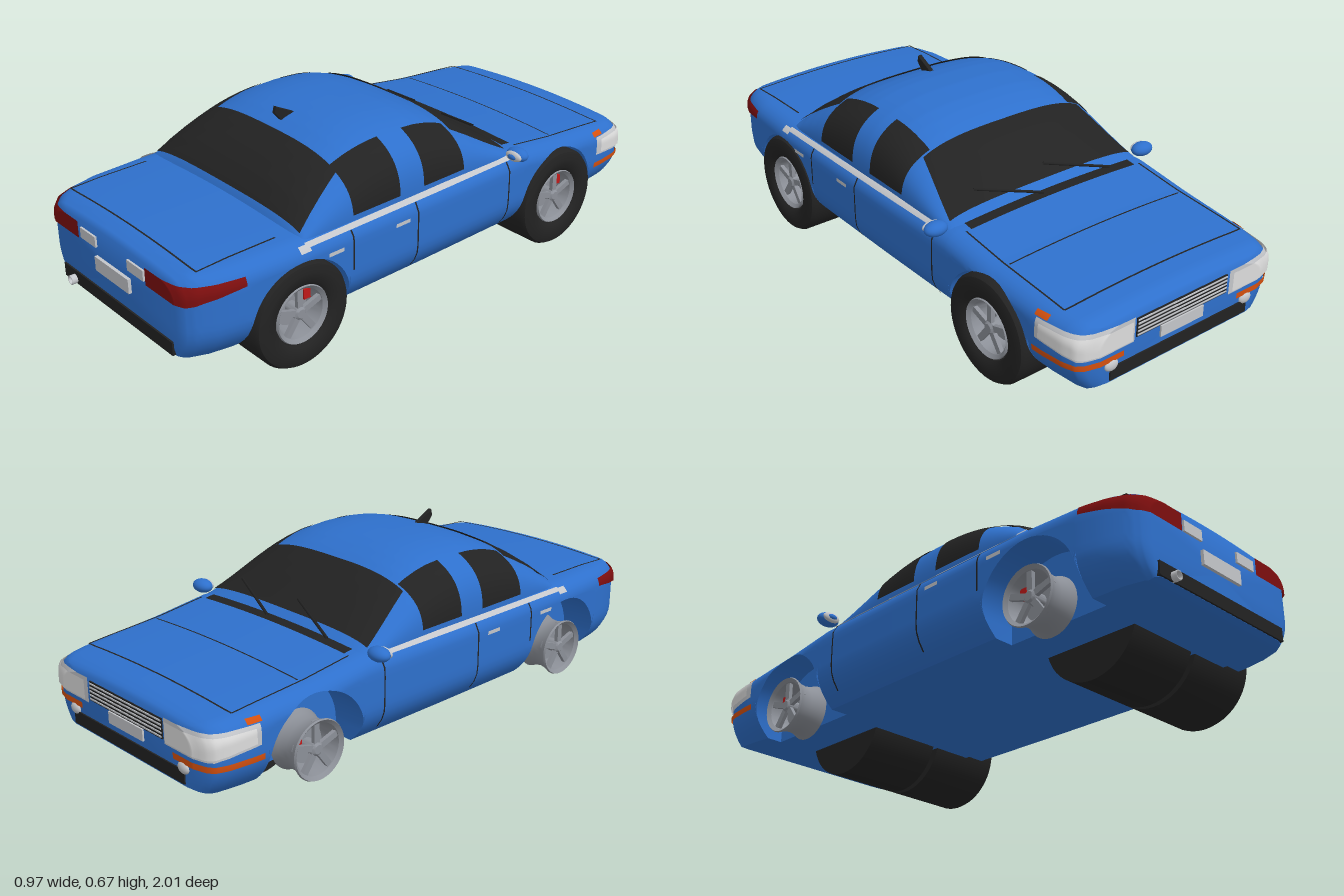
import * as THREE from 'three';
import { toCreasedNormals } from 'three/addons/utils/BufferGeometryUtils.js';

const mat = (name, color) => new THREE.MeshStandardMaterial({ name, color, side: THREE.DoubleSide });
const paint = mat('blue paint', 0x2e70cc), black = mat('black trim', 0x222222);
const silver = mat('light silver', 0xc4c6ca), alloy = mat('wheel alloy', 0x8c9098);
const tail = mat('tail light red', 0x7c0e0e), orange = mat('indicator orange', 0xd4500f);
const red = mat('caliper red', 0xc01818), lensMat = mat('headlamp lens', 0xdcdcdc);

// Piecewise linear lookup in a list of [z, value]
const lookup = (t, z) => {
  if (z <= t[0][0]) return t[0][1];
  for (let i = 1; i < t.length; i++) if (z <= t[i][0]) {
    const [a, p] = t[i - 1], [b, q] = t[i];
    return p + (q - p) * (z - a) / (b - a);
  }
  return t[t.length - 1][1];
};
const mix = THREE.MathUtils.lerp;

const NOSE = -0.995, TAIL = 0.975, WHEEL_Y = 0.182, TYRE_R = 0.182, ARCH_R = 0.19, AXLES = [0.585, -0.6];
const WIDTH = [[-0.995, .33], [-0.985, .375], [-0.97, .4], [-0.93, .415], [-0.85, .425], [-0.6, .433], [0, .44],
  [.6, .44], [.8, .428], [.88, .412], [.94, .385], [.965, .36], [.975, .33]];
const TOP = [[-0.995, .345], [-0.985, .357], [-0.95, .37], [-0.8, .383], [-0.6, .398], [-0.39, .425], [.56, .43],
  [.8, .43], [.93, .425], [.965, .412], [.975, .4]];
const BOTTOM = [[-0.995, .155], [-0.95, .14], [-0.8, .13], [.8, .13], [.95, .138], [.975, .15]];
const ROOF = [[-0.4, .425], [-0.35, .458], [-0.3, .492], [-0.25, .526], [-0.2, .558], [-0.15, .586], [-0.1, .609], [-0.05, .626], [0, .637],
  [.1, .645], [.2, .641], [.25, .634], [.3, .622], [.35, .604], [.4, .58], [.45, .551], [.5, .515], [.55, .465], [.58, .41]];

// Half width of the lower body at a height, and height of its top
const sideX = (y, z) => {
  const w = lookup(WIDTH, z), t = lookup(TOP, z), s = THREE.MathUtils.clamp((y - t + .06) / .06, 0, 1);
  const low = Math.max(0, (.25 - y) / .12);
  return w * (1 - .16 * low * low) - .07 * (1 - Math.sqrt(1 - s * s));
};
const topY = (x, z) => lookup(TOP, z) + .012 * (1 - Math.min(1, (x / (lookup(WIDTH, z) - .07)) ** 2));

// Cabin surface, a rounded section standing on BASE
const BASE = .4, CABIN_W = .408, N = 3;
const curve = f => Math.max(0, 1 - Math.min(1, Math.abs(f)) ** N) ** (1 / N);
const cabinY = (x, z) => BASE + (lookup(ROOF, z) - BASE) * curve(x / CABIN_W);
const cabinX = (y, z) => CABIN_W * curve((y - BASE) / (lookup(ROOF, z) - BASE));

// Surface from a grid of points
function grid(fn, nu, nv) {
  const pos = [], idx = [];
  for (let i = 0; i <= nu; i++) for (let j = 0; j <= nv; j++) pos.push(...fn(i / nu, j / nv));
  for (let i = 0; i < nu; i++) for (let j = 0; j < nv; j++) {
    const a = i * (nv + 1) + j, b = a + nv + 1;
    idx.push(a, b, a + 1, b, b + 1, a + 1);
  }
  const g = new THREE.BufferGeometry();
  g.setAttribute('position', new THREE.Float32BufferAttribute(pos, 3));
  g.setIndex(idx);
  g.computeVertexNormals();
  return g;
}

export function createModel() {
  const car = new THREE.Group();
  car.name = 'car';
  const add = (name, geo, m, x = 0, y = 0, z = 0, parent = car) => {
    const mesh = new THREE.Mesh(geo, m);
    mesh.name = name;
    mesh.position.set(x, y, z);
    parent.add(mesh);
    return mesh;
  };
  const box = (name, m, w, h, d, x, y, z, parent) => add(name, new THREE.BoxGeometry(w, h, d), m, x, y, z, parent);
  const ball = (name, m, rx, ry, rz, x, y, z) => add(name, new THREE.SphereGeometry(1, 24, 16), m, x, y, z).scale.set(rx, ry, rz);

  // Lower body: cross-sections along z, with wheel wells stepped into the sides
  const stations = [];
  for (const t of [WIDTH, TOP, BOTTOM]) for (const [z] of t) stations.push([z, 0]);
  for (let z = -0.96; z < .97; z += .04) stations.push([z, 0]);
  const open = stations.filter(([z]) => AXLES.every(c => Math.abs(z - c) > ARCH_R + .002));
  for (const c of AXLES) {
    for (const s of [-1, 1]) open.push([c + s * (ARCH_R + .0005), 0]);
    for (let i = 0; i <= 24; i++) {
      const a = Math.PI * i / 24;
      open.push([c - ARCH_R * Math.cos(a), WHEEL_Y + ARCH_R * Math.sin(a)]);
    }
  }
  open.sort((a, b) => a[0] - b[0]);
  const half = ([z, arch]) => {
    const yb = lookup(BOTTOM, z), t = lookup(TOP, z), a = Math.max(yb, arch);
    const inner = Math.min(.3, sideX(yb, z) - .01), pts = [[0, yb], [inner, yb], [inner, a]];
    for (let i = 0; i <= 10; i++) { const y = mix(a, Math.max(a, t - .06), i / 10); pts.push([sideX(y, z), y]); }
    for (let i = 1; i <= 6; i++) { const y = Math.max(a, t - .06 + .06 * Math.sin(Math.PI * i / 12)); pts.push([sideX(y, z), y]); }
    const edge = sideX(t, z);
    for (let i = 1; i <= 6; i++) { const x = edge * (1 - i / 6); pts.push([x, topY(x, z)]); }
    return pts;
  };
  const rings = open.map(s => {
    const h = half(s);
    return [...h, ...h.slice(0, -1).reverse().map(([x, y]) => [-x, y])].map(([x, y]) => [x, y, s[0]]);
  });
  const ends = r => r.map(p => [0, .27, p[2]]);
  rings.unshift(ends(rings[0]));
  rings.push(ends(rings[rings.length - 1]));
  const nu = rings.length - 1, nv = rings[0].length - 1;
  add('lowerBody', toCreasedNormals(grid((u, v) => rings[Math.round(u * nu)][nv - Math.round(v * nv)], nu, nv), .7), paint);

  // Cabin and its glass
  add('cabin', grid((u, v) => {
    const z = mix(-0.4, .58, u), a = Math.PI * v, c = Math.cos(a), s = Math.sin(a), k = (Math.abs(c) ** N + s ** N) ** (-1 / N);
    return [-CABIN_W * c * k, BASE + (lookup(ROOF, z) - BASE) * s * k, z];
  }, 98, 48), paint);
  const screen = (name, z0, z1, w0, w1) => add(name, grid((u, v) => {
    const z = mix(z0, z1, u), x = mix(-1, 1, v) * mix(w0, w1, u);
    return [x, cabinY(x, z) + .006, z];
  }, 24, 40), black);
  screen('windscreen', -0.355, -0.14, .385, .33);
  screen('rearWindow', .36, .553, .33, .385);

  // Patches lying on the body side and top
  const sidePatch = (name, m, s, z0, z1, y0, y1, lift = .004) => add(name, grid((u, v) => {
    const z = mix(z0, z1, u), y = mix(y0, y1, v);
    return [s * (sideX(y, z) + lift), y, z];
  }, 20, 8), m);
  const topPatch = (name, m, x0, x1, z0, z1) => add(name, grid((u, v) => {
    const z = mix(z0, z1, u), x = mix(x0, x1, v);
    return [x, topY(x, z) + .003, z];
  }, 20, 20), m);
  // Lamps running along the side and round the corner onto an end face
  const wrap = (name, m, s, zSide, zEnd, xIn, y0, y1, y0Tip, lift) => add(name, grid((u, v) => {
    const k = Math.min(1, u * 2), z = mix(zSide, zEnd, 1 - (1 - k) ** 2), y = mix(mix(y0Tip, y0, Math.min(1, k * 1.5)), y1, v);
    const x = mix(sideX(y, z) + lift, xIn, Math.max(0, u * 2 - 1));
    return [s * x, y, z + Math.sign(zEnd) * lift * k];
  }, 32, 8), m);

  for (const s of [-1, 1]) {
    for (const [z0, z1] of [[-0.13, .055], [.16, .36]]) add('sideWindow', grid((u, v) => {
      const z = mix(z0, z1, u), y = mix(.44, Math.min(.612, BASE + .86 * (lookup(ROOF, z) - BASE)), v);
      return [s * (cabinX(y, z) + .005), y, z];
    }, 12, 16), black);
    sidePatch('beltStrip', silver, s, -0.36, .56, .408, .42, .006);
    sidePatch('beltStripEnd', silver, s, .55, .59, .4, .418, .009);
    for (const [z, y] of [[.385, .27], [.108, .165], [-0.33, .165]]) sidePatch('doorGap', black, s, z - .003, z + .003, y, .406);
    for (const z of [.46, .18]) sidePatch('doorHandle', silver, s, z - .03, z + .03, .357, .37, .009);
    topPatch('bonnetGap', black, s * .367, s * .373, -0.88, -0.42);
    topPatch('bootGap', black, s * .347, s * .353, .62, .91);
    // Lamps
    wrap('tailLight', tail, s, .79, TAIL, .19, .34, .4, .372, .007);
    box('reverseLight', silver, .088, .037, .008, s * .134, .365, TAIL + .003);
    wrap('headlampFrame', silver, s, -0.82, NOSE, .2, .262, .347, .28, .004);
    wrap('headlampLens', lensMat, s, -0.84, NOSE, .212, .272, .338, .29, .01);
    wrap('frontIndicator', orange, s, -0.81, NOSE, .24, .23, .25, .23, .005);
    sidePatch('sideIndicator', orange, s, -0.86, -0.81, .35, .365);
    ball('fogLight', silver, .026, .02, .012, s * .285, .215, NOSE);
    // Door mirror
    ball('mirrorShell', paint, .042, .024, .03, s * .443, .433, -0.36);
    ball('mirrorRim', silver, .034, .018, .012, s * .445, .433, -0.338);
    ball('mirrorFace', paint, .021, .011, .012, s * .445, .433, -0.334);
  }
  topPatch('bonnetFrontGap', black, -0.37, .37, -0.883, -0.877);
  topPatch('bonnetCrease', black, -0.36, .36, -0.622, -0.617);
  topPatch('bootRearGap', black, -0.35, .35, .905, .911);
  topPatch('cowl', black, -0.35, .35, -0.42, -0.383);

  // Rear face
  box('rearPlate', silver, .19, .05, .014, 0, .291, TAIL + .004);
  box('rearBumperInsert', black, .62, .047, .012, 0, .174, TAIL);
  const exhaust = new THREE.LatheGeometry([[.012, -.05], [.012, .05], [.016, .05], [.016, -.05]].map(p => new THREE.Vector2(...p)), 20);
  add('exhaustPipe', exhaust.rotateX(Math.PI / 2), silver, -0.245, .166, .95);

  // Nose face
  box('grille', black, .38, .066, .008, 0, .306, NOSE);
  for (let i = 0; i < 5; i++) box('grilleBar', silver, .376, .005, .007, 0, .28 + i * .013, NOSE - .003);
  box('frontPlate', silver, .18, .04, .012, 0, .25, NOSE);
  box('frontIntake', black, .58, .045, .01, 0, .185, NOSE);

  // Wipers and roof aerial
  for (const x of [-0.25, .04]) {
    const arm = new THREE.LineCurve3(new THREE.Vector3(x, .442, -0.4), new THREE.Vector3(x + .225, .494, -0.32));
    add('wiper', new THREE.TubeGeometry(arm, 1, .005, 6), black);
  }
  const fin = new THREE.Shape([[.265, .63], [.335, .665], [.34, .645], [.31, .61]].map(p => new THREE.Vector2(-p[0], p[1])));
  add('aerialFin', new THREE.ExtrudeGeometry(fin, { depth: .012, bevelSize: .002, bevelThickness: .002, bevelSegments: 1 })
    .translate(0, 0, -.006).rotateY(Math.PI / 2), black);

  // Wheels: rims on both sides, outer tyres on the left, inner rollers to the right of them
  const lathe = (pts, seg = 48) => toCreasedNormals(
    new THREE.LatheGeometry(pts.map(p => new THREE.Vector2(...p)), seg).rotateZ(-Math.PI / 2), .6);
  const tyre = lathe([[0, .15], [TYRE_R, .15], [TYRE_R, .425], [.174, .438], [.15, .445], [.115, .44], [.103, .43], [.103, .33], [0, .33]]);
  const barrel = lathe([[.082, .32], [.1, .322], [.09, .345], [.086, .375], [.09, .405], [.101, .43], [.098, .436], [.086, .425], [.078, .375], [.082, .32]]);
  for (const z of AXLES) {
    add('outerTyre', tyre, black, 0, WHEEL_Y, z);
    add('innerRoller', lathe([[0, -.15], [TYRE_R, -.15], [TYRE_R, .13], [0, .13]]), black, 0, WHEEL_Y, z);
    for (const s of [-1, 1]) {
      const wheel = new THREE.Group();
      wheel.name = 'wheelRim';
      wheel.position.set(0, WHEEL_Y + .003, z);
      wheel.scale.x = s;
      car.add(wheel);
      add('rimBarrel', barrel, alloy, 0, 0, 0, wheel);
      add('hub', lathe([[0, .36], [.022, .36], [.024, .42], [.015, .428], [0, .428]], 20), alloy, 0, 0, 0, wheel);
      add('brakeDisc', lathe([[0, .365], [.062, .365], [.062, .372], [0, .372]], 32), alloy, 0, 0, 0, wheel);
      box('brakeCaliper', red, .022, .035, .026, .384, .038, -.05, wheel);
      for (let i = 0; i < 5; i++) {
        const spoke = new THREE.BoxGeometry(.014, .08, .021).translate(.415, .053, 0).rotateX(i * Math.PI * 2 / 5);
        add('spoke', spoke, alloy, 0, 0, 0, wheel);
      }
    }
  }
  return car;
}
